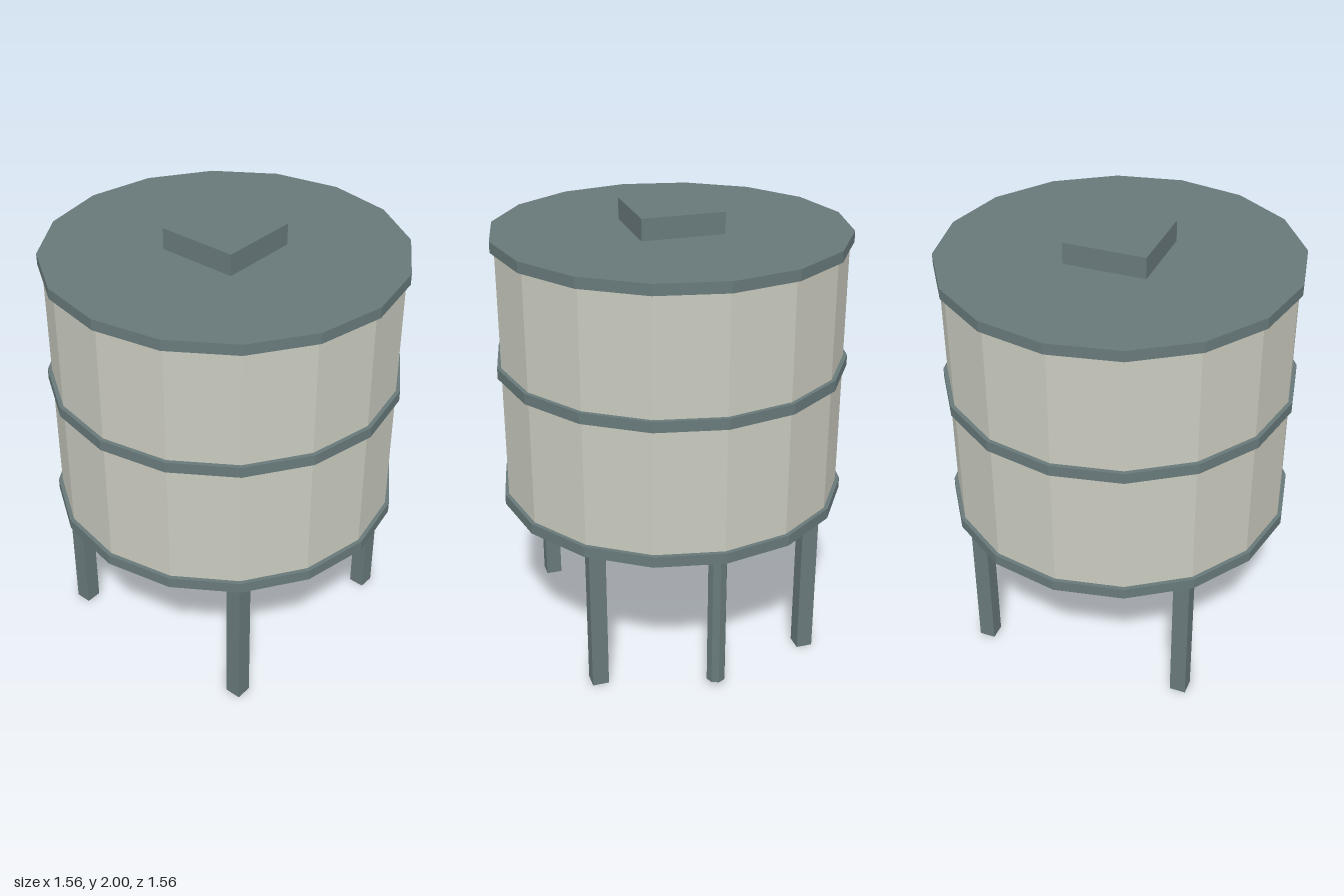
import * as THREE from 'three';

export function createModel() {
  const group = new THREE.Group();
  const steel = new THREE.MeshStandardMaterial({ color: 0x68797a, flatShading: true });
  steel.name = 'grey steel';
  const cream = new THREE.MeshStandardMaterial({ color: 0xc9cabe, flatShading: true });
  cream.name = 'pale cream';

  const add = (name, geometry, material, x, y, z) => {
    const mesh = new THREE.Mesh(geometry, material);
    mesh.name = name;
    mesh.position.set(x, y, z);
    group.add(mesh);
  };
  // Upright cylinder given by its bottom and top heights
  const drum = (name, r, y0, y1, sides, material, x = 0) =>
    add(name, new THREE.CylinderGeometry(r, r, y1 - y0, sides), material, x, (y0 + y1) / 2, 0);

  // Tank body and its hoops; the top hoop closes the tank as a lid
  drum('tankBody', 0.762, 0.676, 1.88, 16, cream);
  drum('bottomHoop', 0.78, 0.685, 0.734, 16, steel);
  drum('middleHoop', 0.78, 1.296, 1.344, 16, steel);
  drum('lid', 0.78, 1.857, 1.905, 16, steel);

  // Square hatch on the lid
  add('hatch', new THREE.BoxGeometry(0.365, 0.1, 0.365), steel, 0, 1.95, 0);

  // Four square legs
  for (const x of [-0.487, 0.487]) {
    for (const z of [-0.487, 0.487]) {
      add('leg', new THREE.BoxGeometry(0.073, 0.69, 0.073), steel, x, 0.345, z);
    }
  }

  // Drain pipe on the left side
  drum('drainPipe', 0.042, 0.036, 0.69, 8, steel, 0.67);

  return group;
}
